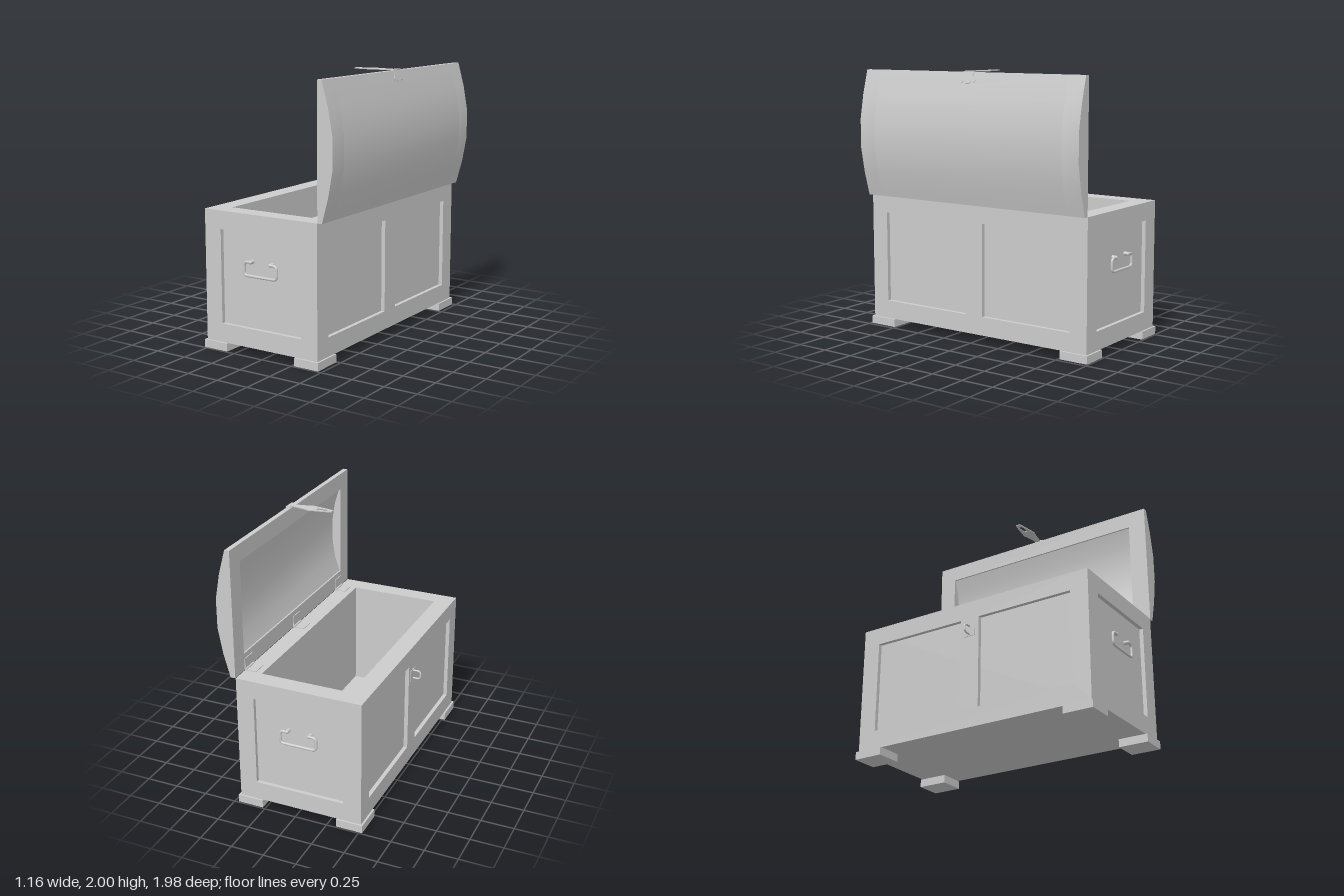
import * as THREE from 'three';
import { toCreasedNormals } from 'three/addons/utils/BufferGeometryUtils.js';

const mat = new THREE.MeshStandardMaterial({ color: 0xcccccc });
const X0 = -0.51, X1 = 0.455, Y0 = 0.06, Y1 = 1.03, ZH = 0.975; // body extents
const REC = 0.03; // depth of the recessed panels
const IN = { x0: -0.37, x1: 0.32, z: 0.837, y: 0.2 }; // inner cavity

const points = (pts) => pts.map(([a, b]) => new THREE.Vector2(a, b));
const rect = (a0, a1, b0, b1) => [[a0, b0], [a1, b0], [a1, b1], [a0, b1]];

function extrude(outline, holes, depth) {
  const shape = new THREE.Shape(points(outline));
  holes.forEach((h) => shape.holes.push(new THREE.Path(points(h))));
  return new THREE.ExtrudeGeometry(shape, { depth, bevelEnabled: false });
}

function add(parent, name, geo, x = 0, y = 0, z = 0) {
  const mesh = new THREE.Mesh(geo, mat);
  mesh.name = name;
  mesh.position.set(x, y, z);
  parent.add(mesh);
  return mesh;
}

// box given by its limits
function block(parent, name, x0, x1, y0, y1, z0, z1) {
  return add(parent, name, new THREE.BoxGeometry(x1 - x0, y1 - y0, z1 - z0),
    (x0 + x1) / 2, (y0 + y1) / 2, (z0 + z1) / 2);
}

// round bar through corner points with softened bends
function bar(pts, r, bend) {
  const v = pts.map((p) => new THREE.Vector3(...p));
  const path = new THREE.CurvePath();
  let last = v[0];
  for (let i = 1; i < v.length - 1; i++) {
    const a = v[i].clone().add(v[i - 1].clone().sub(v[i]).setLength(bend));
    const b = v[i].clone().add(v[i + 1].clone().sub(v[i]).setLength(bend));
    path.add(new THREE.LineCurve3(last, a));
    path.add(new THREE.QuadraticBezierCurve3(a, v[i], b));
    last = b;
  }
  path.add(new THREE.LineCurve3(last, v[v.length - 1]));
  return new THREE.TubeGeometry(path, 80, r, 10);
}

function makeBody() {
  const body = new THREE.Group();
  body.name = 'body';

  // inner walls and floor
  const core = extrude(rect(X0 + REC, X1 - REC, -ZH + REC, ZH - REC),
    [rect(IN.x0, IN.x1, -IN.z, IN.z)], Y1 - Y0);
  core.rotateX(Math.PI / 2);
  add(body, 'innerWalls', core, 0, Y1, 0);
  block(body, 'floor', IN.x0, IN.x1, Y0, IN.y, -IN.z, IN.z);

  // long frames, two panels each
  const long = extrude(rect(-ZH, ZH, Y0, Y1),
    [rect(0.077, 0.835, 0.2, 0.895), rect(-0.835, -0.077, 0.2, 0.895)], REC);
  long.rotateY(-Math.PI / 2);
  add(body, 'frontFrame', long, X0 + REC, 0, 0);
  add(body, 'backFrame', long, X1, 0, 0);

  // short frames, one panel each
  const short = extrude(rect(X0 + REC, X1 - REC, Y0, Y1),
    [rect(-0.37, 0.32, 0.2, 0.895)], REC);
  add(body, 'endFrame', short, 0, 0, ZH - REC);
  add(body, 'endFrame', short, 0, 0, -ZH);

  // feet
  for (const s of [-1, 1]) {
    for (const [a, b] of [[-0.525, -0.32], [0.27, 0.47]]) {
      block(body, 'foot', a, b, 0, Y0, Math.min(s * 0.762, s * 0.99), Math.max(s * 0.762, s * 0.99));
    }
  }
  return body;
}

function makeLid() {
  const lid = new THREE.Group();
  lid.name = 'lid';
  const top = 1.992;
  const back = [[0.495, Y1], [0.545, 1.21], [0.58, 1.4], [0.58, 1.62], [0.545, 1.81], [0.495, top]];
  const hollow = [[0.458, 1.865], [0.47, 1.865], [0.508, 1.74], [0.53, 1.6],
    [0.53, 1.42], [0.508, 1.28], [0.47, 1.16], [0.458, 1.16]];
  const cap = [[0.458, Y1], ...back, [0.458, top]];

  const ends = toCreasedNormals(extrude(cap, [], ZH - IN.z), 0.4);
  add(lid, 'lidEnd', ends, 0, 0, IN.z);
  add(lid, 'lidEnd', ends, 0, 0, -ZH);
  const shell = toCreasedNormals(extrude([...cap, ...hollow], [], IN.z * 2), 0.4);
  add(lid, 'lidShell', shell, 0, 0, -IN.z);
  return lid;
}

function makeHasp() {
  const hasp = new THREE.Group();
  hasp.name = 'hasp';
  // tapered strap with a slot, lying over the lid edge
  const half = [[0.145, 0.018], [0.18, 0.026], [0.32, 0.05], [0.37, 0.035], [0.455, 0.02], [0.47, 0.045], [0.5, 0.05]];
  const outline = [...half, ...half.map(([x, z]) => [x, -z]).reverse()];
  const strap = extrude(outline, [rect(0.185, 0.265, -0.014, 0.014)], 0.007);
  strap.rotateX(Math.PI / 2);
  add(hasp, 'haspStrap', strap, 0, 2, 0);

  // scalloped tail fixed to the curved back of the lid
  const side = [[0.045, 0], [0.045, -0.035], [0.068, -0.06], [0.055, -0.085], [0.03, -0.07], [0.015, -0.09]];
  const tail = extrude([...side, ...side.map(([z, y]) => [-z, y]).reverse()], [], 0.004);
  tail.rotateY(Math.PI / 2);
  add(hasp, 'haspTail', tail, 0.494, 1.996, 0).rotation.z = Math.atan2(0.05, 0.18);
  return hasp;
}

function makeHinge(z) {
  const hinge = new THREE.Group();
  hinge.name = 'hinge';
  const w = 0.058;
  block(hinge, 'lowerLeaf', 0.368, 0.452, Y1 - 0.002, Y1 + 0.005, -w, w);
  block(hinge, 'upperLeaf', 0.452, 0.459, Y1, Y1 + 0.09, -w, w);
  const pin = new THREE.CylinderGeometry(0.008, 0.008, w * 2, 10);
  pin.rotateX(Math.PI / 2);
  add(hinge, 'hingePin', pin, 0.448, Y1 + 0.008, 0);
  hinge.position.z = z;
  return hinge;
}

function makeHandle(side) {
  const handle = new THREE.Group();
  handle.name = 'handle';
  const cx = -0.024, z = 0.973;
  const pts = [[-0.09, 0.686, z], [-0.14, 0.686, z], [-0.14, 0.587, z],
    [0.14, 0.587, z], [0.14, 0.686, z], [0.09, 0.686, z]];
  add(handle, 'grip', bar(pts, 0.01, 0.03), cx);
  const post = new THREE.CylinderGeometry(0.012, 0.016, 0.04, 12);
  post.rotateX(Math.PI / 2);
  for (const s of [-1, 1]) {
    add(handle, 'post', post, cx + s * 0.086, 0.686, 0.96);
    add(handle, 'knob', new THREE.SphereGeometry(0.014, 12, 8), cx + s * 0.086, 0.686, z);
  }
  // turned about the centre line of the handle for the far end
  if (side < 0) {
    handle.rotation.y = Math.PI;
    handle.position.x = 2 * cx;
  }
  return handle;
}

export function createModel() {
  const chest = new THREE.Group();
  chest.name = 'chest';
  chest.add(makeBody(), makeLid(), makeHasp(), makeHandle(1), makeHandle(-1));
  for (const z of [-0.777, 0, 0.777]) chest.add(makeHinge(z));

  // staple on the front for the hasp
  const staple = new THREE.Group();
  staple.name = 'staple';
  block(staple, 'staplePlate', X0 - 0.005, X0 + 0.005, 0.755, 0.845, -0.047, 0.047);
  const loop = bar([[-0.505, 0.833, 0], [-0.573, 0.833, 0], [-0.573, 0.769, 0], [-0.505, 0.769, 0]], 0.007, 0.025);
  add(staple, 'stapleLoop', loop);
  chest.add(staple);
  return chest;
}
